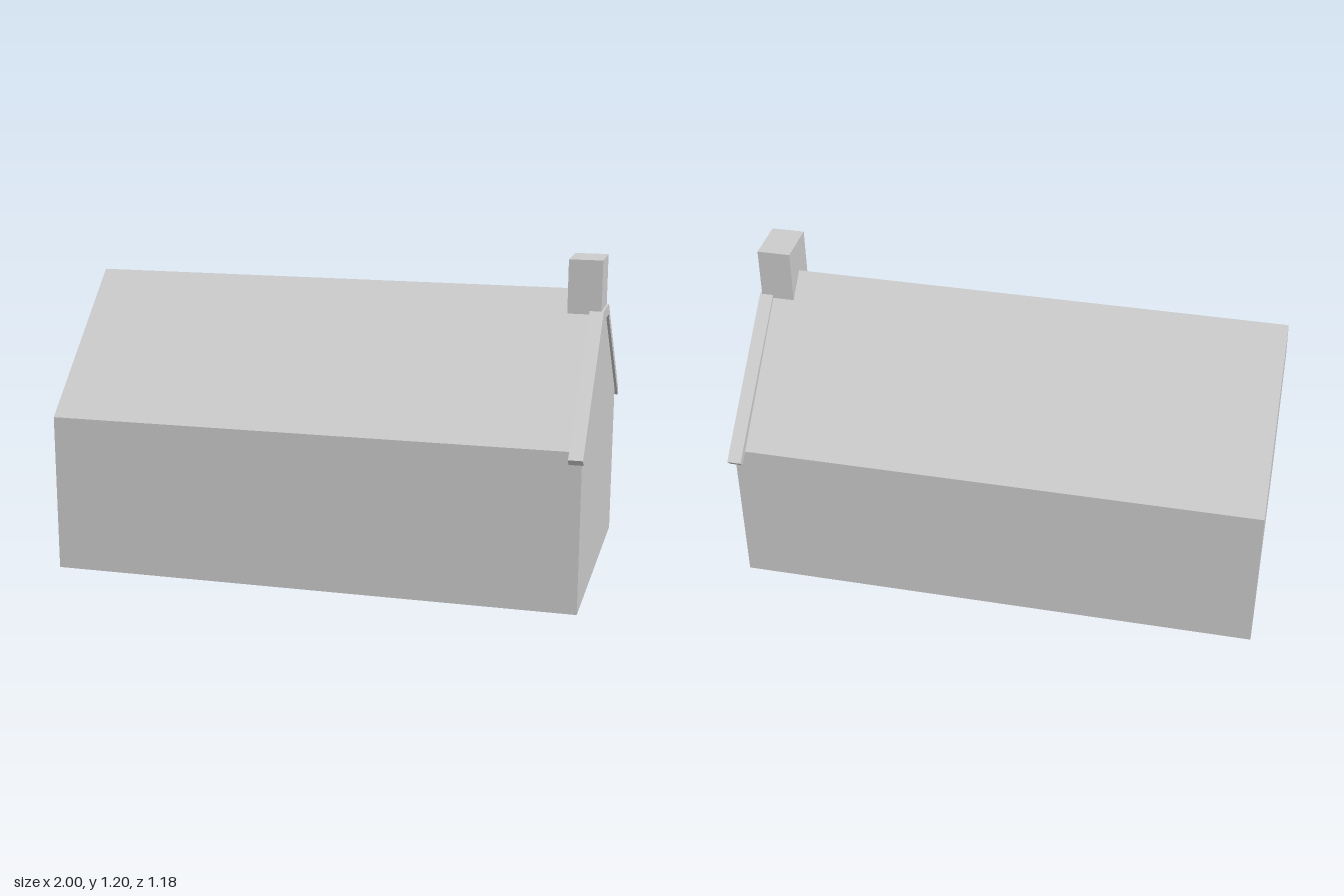
import * as THREE from 'three';

// Profile points are [z, y]; every profile is symmetric about z = 0.
const EAVE = [0.532, 0.595];
const RIDGE = 1.083;
const X_LEFT = 0.99, X_RIGHT = -1;

const shapeOf = (pts) => new THREE.Shape(pts.map(([z, y]) => new THREE.Vector2(z, y)));

// Flat panel running the length of the house between two profile points
function panel([z0, y0], [z1, y1]) {
  const g = new THREE.BufferGeometry();
  g.setAttribute('position', new THREE.Float32BufferAttribute([
    X_RIGHT, y0, z0, X_LEFT, y0, z0, X_LEFT, y1, z1, X_RIGHT, y1, z1,
  ], 3));
  g.setIndex(z0 > 0 ? [0, 1, 2, 0, 2, 3] : [0, 2, 1, 0, 3, 2]);
  g.computeVertexNormals();
  return g;
}

export function createModel() {
  const house = new THREE.Group();
  house.name = 'house';
  const plaster = new THREE.MeshStandardMaterial({ color: 0xcccccc, side: THREE.DoubleSide });
  plaster.name = 'plainGrey';

  const add = (name, geometry) => {
    const mesh = new THREE.Mesh(geometry, plaster);
    mesh.name = name;
    house.add(mesh);
    return mesh;
  };

  // Long walls and roof slopes, a thin shell left open underneath
  for (const s of [1, -1]) {
    const side = s > 0 ? 'front' : 'back';
    const eave = [s * EAVE[0], EAVE[1]];
    add(side + 'Wall', panel([eave[0], 0], eave));
    add(side + 'Roof', panel(eave, [0, RIDGE]));
  }

  // Gable end walls
  const gable = shapeOf([[-EAVE[0], 0], [EAVE[0], 0], EAVE, [0, RIDGE], [-EAVE[0], EAVE[1]]]);
  for (const [name, x, turn] of [['leftGable', X_LEFT, 1], ['rightGable', X_RIGHT, -1]]) {
    const mesh = add(name, new THREE.ShapeGeometry(gable));
    mesh.rotation.y = turn * Math.PI / 2;
    mesh.position.x = x;
  }

  // Raised coping strip along the left gable, flat under the chimney
  const half = [[0.088, 1.015], [0.588, 0.58], [0.57, 0.559], [0.088, 0.975]];
  const mirrored = half.map(([z, y]) => [-z, y]).reverse();
  const coping = new THREE.ExtrudeGeometry(shapeOf([...half, ...mirrored]), {
    depth: 0.052, bevelEnabled: false,
  });
  coping.rotateY(Math.PI / 2);
  add('gableCoping', coping).position.x = 0.948;

  // Chimney straddling the ridge
  const chimney = add('chimney', new THREE.BoxGeometry(0.125, 0.203, 0.176));
  chimney.position.set(0.929, 1.1015, 0);

  return house;
}
